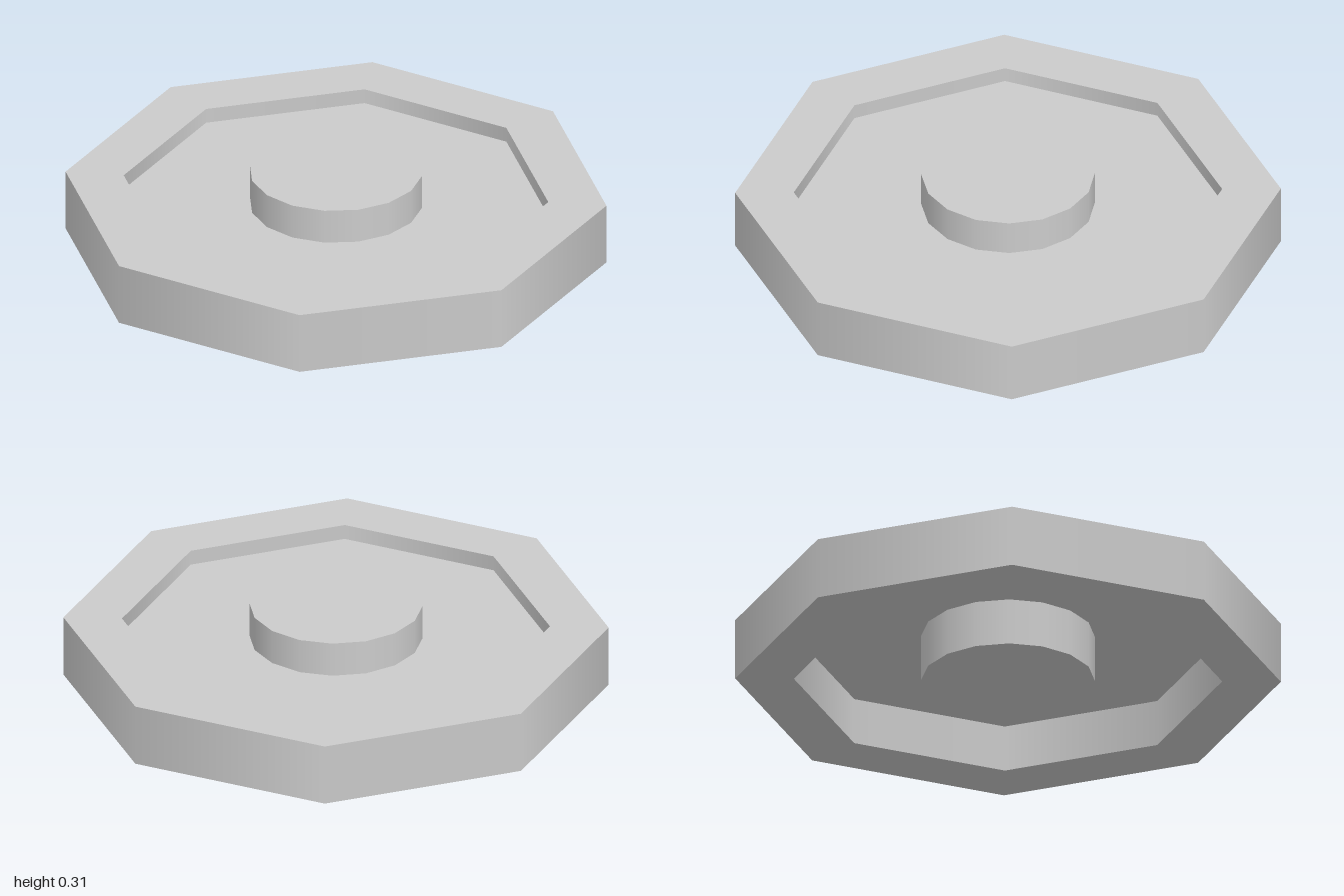
import * as THREE from 'three';
import { mergeGeometries } from 'three/addons/utils/BufferGeometryUtils.js';

const OUTER = 1, INNER = 0.785, RIM_HEIGHT = 0.235;
const HUB_RADIUS = 0.318, HUB_HEIGHT = 0.31, WEB_HEIGHT = 0.178;

// Revolve each profile edge on its own: smooth around, sharp between edges
function revolve(profile, sides) {
  const bands = [];
  for (let i = 0; i < profile.length - 1; i++) {
    const edge = [profile[i], profile[i + 1]].map(([r, y]) => new THREE.Vector2(r, y));
    bands.push(new THREE.LatheGeometry(edge, sides));
  }
  return mergeGeometries(bands);
}

export function createModel() {
  const group = new THREE.Group();
  const grey = new THREE.MeshStandardMaterial({ color: 0xcccccc });
  const thinGrey = new THREE.MeshStandardMaterial({ color: 0xcccccc, side: THREE.DoubleSide });

  const add = (name, geometry, material) => {
    const mesh = new THREE.Mesh(geometry, material);
    mesh.name = name;
    group.add(mesh);
    return mesh;
  };

  // Octagonal rim, open in the middle
  add('rim', revolve([
    [INNER, 0], [OUTER, 0], [OUTER, RIM_HEIGHT], [INNER, RIM_HEIGHT], [INNER, 0],
  ], 8), grey);

  // Thin web joining rim and hub, recessed below the rim's top
  const web = add('web', new THREE.CircleGeometry(INNER, 8).rotateX(-Math.PI / 2), thinGrey);
  web.position.y = WEB_HEIGHT;

  // Hub passing through the web, from the ground to above the rim
  const hub = add('hub', new THREE.CylinderGeometry(HUB_RADIUS, HUB_RADIUS, HUB_HEIGHT, 16), grey);
  hub.position.y = HUB_HEIGHT / 2;

  return group;
}
